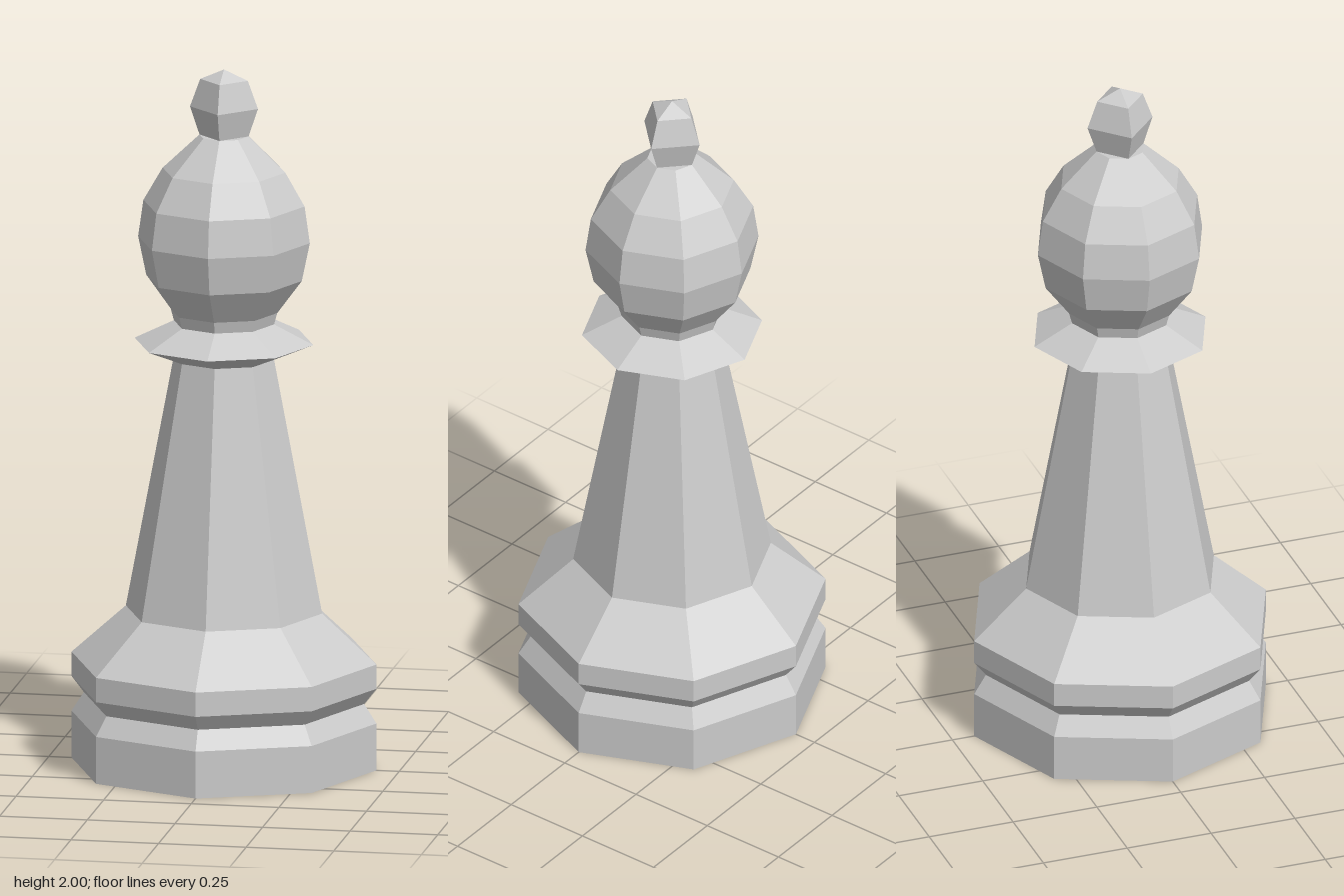
import * as THREE from 'three';

const material = new THREE.MeshStandardMaterial({ color: 0xcccccc, flatShading: true });

// Faceted turned part from [radius, height] pairs, listed bottom to top
function turned(name, sides, profile) {
  const points = profile.map(([r, y]) => new THREE.Vector2(r, y));
  const mesh = new THREE.Mesh(new THREE.LatheGeometry(points, sides), material);
  mesh.name = name;
  return mesh;
}

export function createModel() {
  const group = new THREE.Group();
  group.name = 'chessBishop';

  group.add(
    // Closed foot with a groove and a sloped shoulder
    turned('base', 8, [
      [0, 0], [0.435, 0], [0.435, 0.135], [0.4, 0.19],
      [0.435, 0.235], [0.435, 0.305], [0.28, 0.445],
    ]),
    // Tapered column
    turned('stem', 8, [[0.28, 0.445], [0.143, 1.17]]),
    // Sharp-edged ring and short neck
    turned('collar', 8, [[0.143, 1.17], [0.255, 1.217], [0.143, 1.272], [0.152, 1.305]]),
    // Egg-shaped head
    turned('head', 8, [
      [0.152, 1.305], [0.222, 1.4], [0.245, 1.51],
      [0.23, 1.615], [0.175, 1.71], [0.07, 1.81], [0, 1.81],
    ]),
    // Four-sided knob on top
    turned('finial', 4, [[0.07, 1.81], [0.097, 1.89], [0.068, 1.97], [0, 2]]),
  );
  return group;
}
